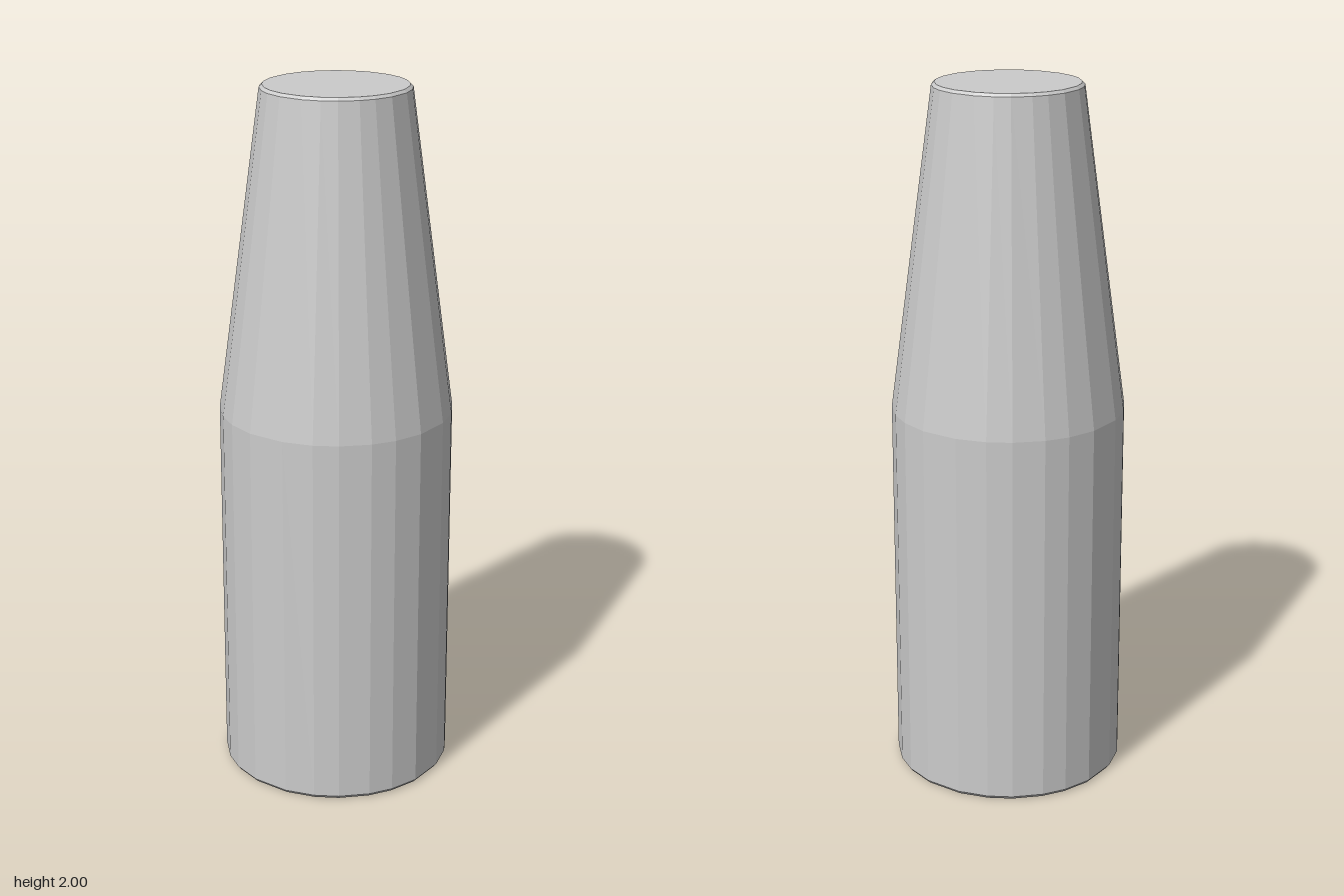
import * as THREE from 'three';

// Angles of the corners in each quarter turn, in degrees (slightly uneven facets)
const QUARTER = [9.6, 24.8, 37.2, 52.8, 65.2, 80.4];

// Turn a profile of [radius, height] points around y with the uneven facets
function facetedLathe(profile) {
  const points = profile.map(([r, y]) => new THREE.Vector2(r, y));
  const segments = QUARTER.length * 4;
  const geometry = new THREE.LatheGeometry(points, segments);
  const position = geometry.attributes.position;
  for (let i = 0; i <= segments; i++) {
    const k = i % segments;
    const degrees = Math.floor(k / QUARTER.length) * 90 + QUARTER[k % QUARTER.length];
    const angle = THREE.MathUtils.degToRad(degrees);
    points.forEach((p, j) => {
      position.setXYZ(i * points.length + j, p.x * Math.sin(angle), p.y, p.x * Math.cos(angle));
    });
  }
  geometry.computeVertexNormals();
  return geometry;
}

export function createModel() {
  const group = new THREE.Group();
  group.name = 'taperedBottle';
  const material = new THREE.MeshStandardMaterial({ color: 0xcccccc, flatShading: true });

  const add = (name, profile) => {
    const mesh = new THREE.Mesh(facetedLathe(profile), material);
    mesh.name = name;
    group.add(mesh);
  };

  // Straight body with a closed base and a tiny bottom bevel
  add('body', [[0, 0], [0.322, 0], [0.33, 0.01], [0.33, 1.085]]);

  // Long tapering shoulder, bevelled rim and flat top
  add('taperedTop', [[0.33, 1.085], [0.208, 1.992], [0.2, 2], [0, 2]]);

  return group;
}
